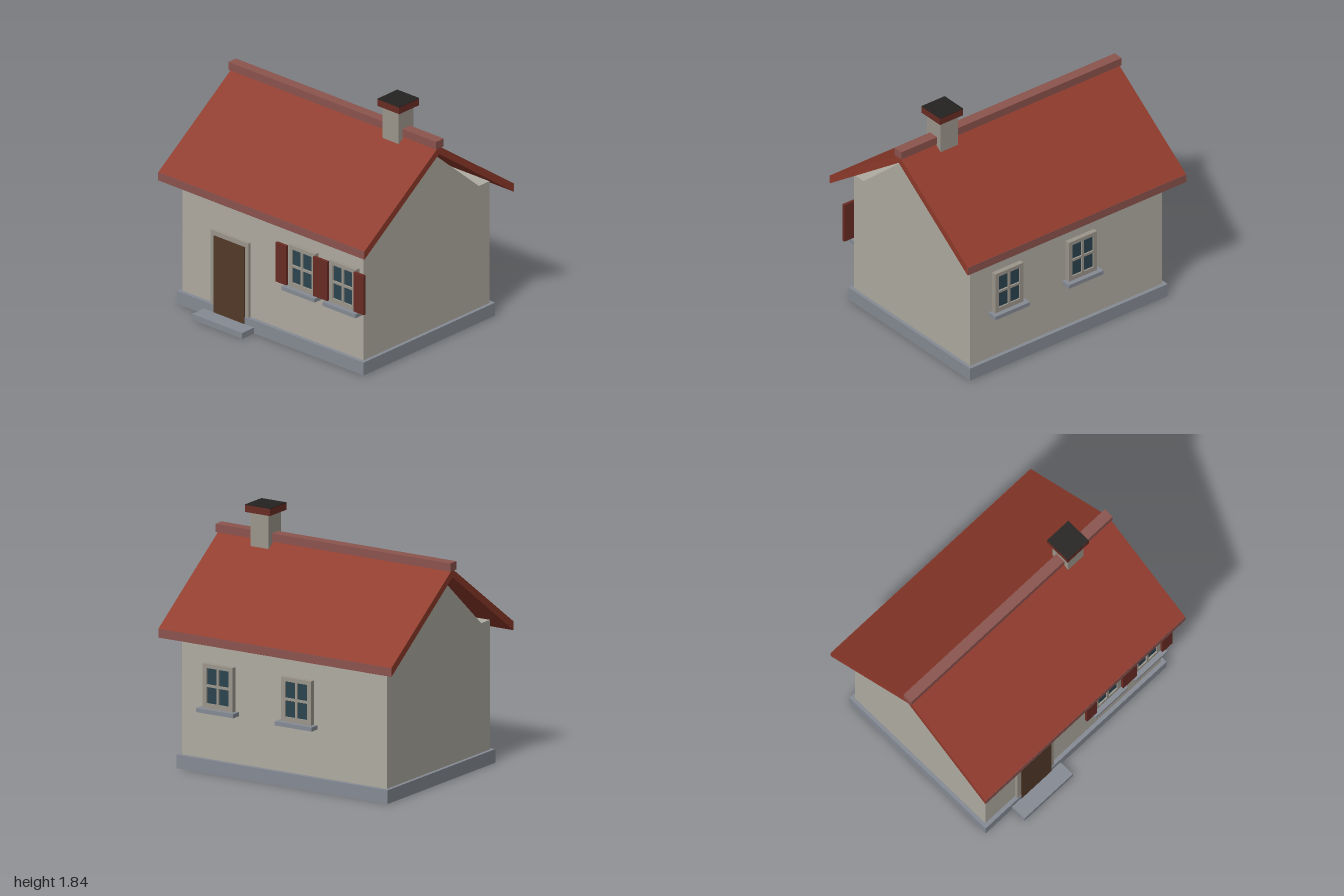
import * as THREE from 'three';

const paint = (color) => new THREE.MeshStandardMaterial({ color });
const WALL = paint(0xb0aca2), TRIM = paint(0x9c978c), STONE = paint(0x868b94);
const TILE = paint(0x8f3a2b), RIDGE = paint(0x8c544e), SHUTTER = paint(0x6a2c24);
const DOOR = paint(0x533a28), GLASS = paint(0x2c4450), SOOT = paint(0x252320);

const MID = -0.015; // z of the ridge line
const FRONT = 0.645, BACK = -0.675; // outer wall faces

// Box given by its limits on each axis
function box(name, mat, [x0, x1], [y0, y1], [z0, z1]) {
  const mesh = new THREE.Mesh(new THREE.BoxGeometry(x1 - x0, y1 - y0, z1 - z0), mat);
  mesh.position.set((x0 + x1) / 2, (y0 + y1) / 2, (z0 + z1) / 2);
  mesh.name = name;
  return mesh;
}

// Prism along x from a (z, y) outline
function prism(name, mat, outline, length) {
  const shape = new THREE.Shape(outline.map(([z, y]) => new THREE.Vector2(z, y)));
  const geo = new THREE.ExtrudeGeometry(shape, { depth: length, bevelEnabled: false });
  geo.translate(0, 0, -length / 2).rotateY(-Math.PI / 2);
  const mesh = new THREE.Mesh(geo, mat);
  mesh.name = name;
  return mesh;
}

// Four-pane window facing +z, with its back on z = 0
function createWindow(name) {
  const win = new THREE.Group();
  win.name = name;
  const outer = new THREE.Shape();
  outer.moveTo(-0.128, 0.48).lineTo(0.128, 0.48).lineTo(0.128, 0.805).lineTo(-0.128, 0.805).closePath();
  for (const [x0, x1] of [[-0.094, -0.009], [0.009, 0.094]]) {
    for (const [y0, y1] of [[0.515, 0.636], [0.654, 0.775]]) {
      const hole = new THREE.Path();
      hole.moveTo(x0, y0).lineTo(x0, y1).lineTo(x1, y1).lineTo(x1, y0).closePath();
      outer.holes.push(hole);
    }
  }
  const frame = new THREE.Mesh(new THREE.ExtrudeGeometry(outer, { depth: 0.038, bevelEnabled: false }), TRIM);
  frame.name = 'windowFrame';
  win.add(
    frame,
    box('windowGlass', GLASS, [-0.11, 0.11], [0.5, 0.79], [0.002, 0.026]),
    box('windowSill', STONE, [-0.158, 0.158], [0.45, 0.48], [0, 0.075]),
  );
  return win;
}

export function createModel() {
  const house = new THREE.Group();
  house.name = 'house';

  // Plinth, step and walls with gables
  house.add(
    box('plinth', STONE, [-0.898, 0.898], [0, 0.1], [-0.705, 0.675]),
    box('doorStep', STONE, [-0.635, -0.155], [0, 0.045], [0.67, 0.8]),
    prism('walls', WALL, [
      [BACK, 0.1], [FRONT, 0.1], [FRONT, 1.05], [0.535, 1.05],
      [MID, 1.525], [-0.565, 1.05], [BACK, 1.05],
    ], 1.742),
  );

  // Roof with plumb-cut eaves, eave boards and ridge cap
  const reach = 0.782;
  house.add(
    prism('roof', TILE, [
      [MID + reach, 0.965], [MID + reach, 1.03], [MID, 1.585],
      [MID - reach, 1.03], [MID - reach, 0.965], [MID, 1.525],
    ], 1.984),
    box('ridgeCap', RIDGE, [-1, 1], [1.575, 1.635], [MID - 0.04, MID + 0.04]),
  );
  for (const side of [-1, 1]) {
    const z = MID + side * reach;
    house.add(box('eaveBoard', RIDGE, [-0.992, 0.992], [0.966, 1.03], [z - 0.002, z + 0.002]));
  }

  // Chimney
  house.add(
    box('chimneyShaft', TRIM, [0.52, 0.675], [1.48, 1.79], [-0.095, 0.063]),
    box('chimneyCap', SHUTTER, [0.492, 0.703], [1.78, 1.832], [-0.122, 0.088]),
    box('chimneyTop', SOOT, [0.492, 0.703], [1.832, 1.836], [-0.122, 0.088]),
  );

  // Door and its surround
  house.add(
    box('doorFrame', TRIM, [-0.577, -0.215], [0.05, 0.68], [0.63, 0.67]),
    box('door', DOOR, [-0.542, -0.247], [0.045, 0.643], [0.63, 0.678]),
  );

  // Front windows with shutters
  for (const x of [0.31, 0.703]) {
    const win = createWindow('frontWindow');
    win.position.set(x, 0, FRONT);
    house.add(win);
  }
  for (const span of [[0.08, 0.18], [0.438, 0.575], [0.828, 0.927]]) {
    house.add(box('shutter', SHUTTER, span, [0.49, 0.796], [0.683, 0.705]));
  }

  // Back windows
  for (const x of [0.545, -0.123]) {
    const win = createWindow('backWindow');
    win.position.set(x, 0, BACK);
    win.rotation.y = Math.PI;
    house.add(win);
  }
  return house;
}
